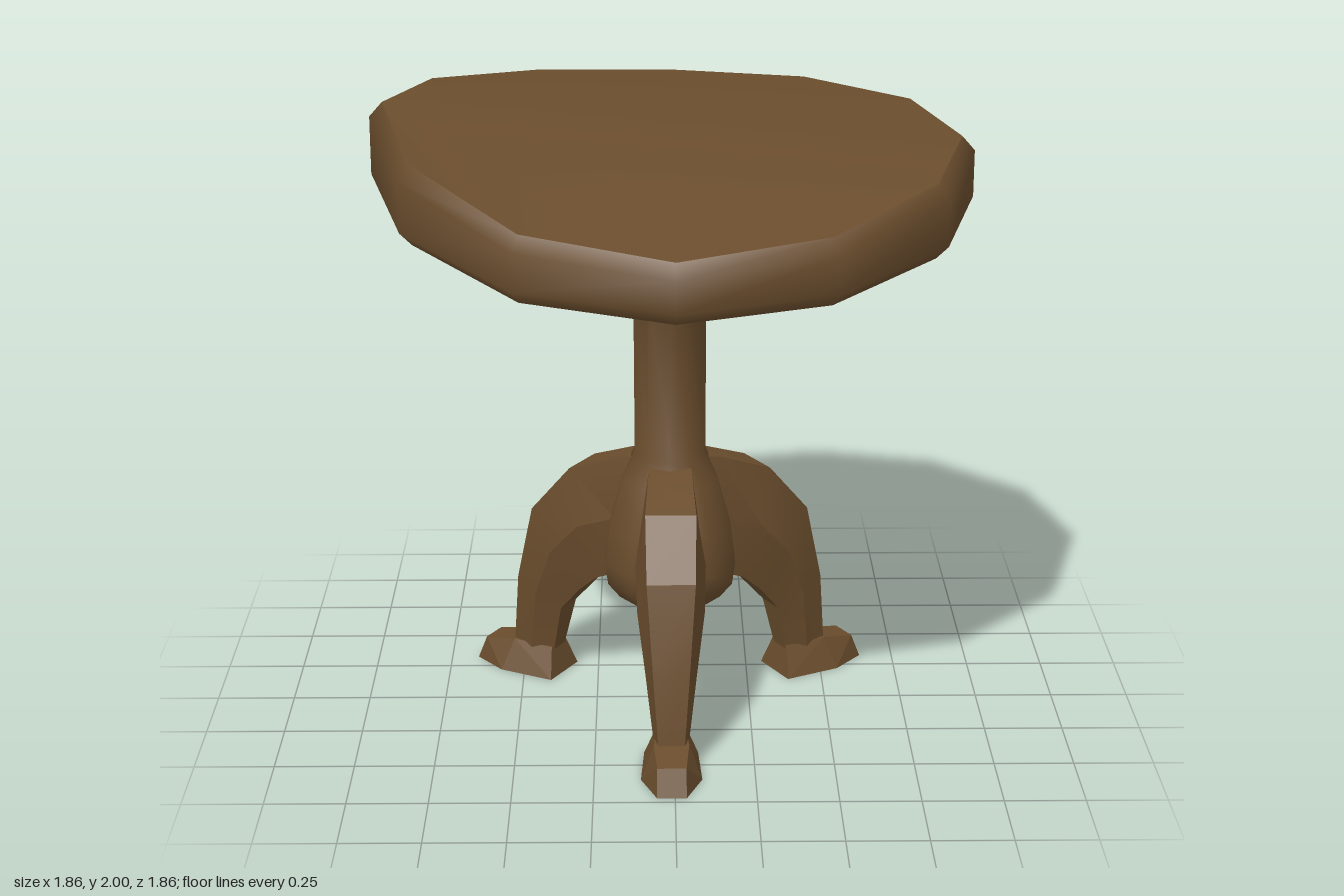
import * as THREE from 'three';
import { toCreasedNormals } from 'three/addons/utils/BufferGeometryUtils.js';
import { ConvexGeometry } from 'three/addons/geometries/ConvexGeometry.js';

// Skin between closed rings of points, each ring an array of [x, y, z]
function loft(rings) {
  const n = rings[0].length, index = [];
  for (let i = 0; i < rings.length - 1; i++) {
    for (let j = 0; j < n; j++) {
      const a = i * n + j, b = i * n + (j + 1) % n;
      index.push(a, a + n, b, b, a + n, b + n);
    }
  }
  return surface(rings.flat(), index);
}

// Fill one ring with triangles that fan out from the chosen corner
function cap(ring, start, down) {
  const n = ring.length, index = [];
  for (let i = 1; i < n - 1; i++) {
    const b = (start + i) % n, c = (start + i + 1) % n;
    index.push(start, down ? c : b, down ? b : c);
  }
  return surface(ring, index);
}

function surface(points, index) {
  const g = new THREE.BufferGeometry();
  g.setAttribute('position', new THREE.Float32BufferAttribute(points.flat(), 3));
  g.setIndex(index);
  g.computeVertexNormals();
  return g;
}

export function createModel() {
  const model = new THREE.Group();
  const wood = new THREE.MeshStandardMaterial({ color: 0x6a4d2d });
  wood.name = 'brown wood';
  const add = (parent, name, geometry) => {
    const mesh = new THREE.Mesh(geometry, wood);
    mesh.name = name;
    parent.add(mesh);
    return mesh;
  };

  // Warped, tilted twelve-sided top: rim heights from the front round to the left
  const upper = [1.74, 1.78, 1.85, 1.89, 1.91, 1.915, 1.915, 1.94, 1.98, 2.0, 1.91, 1.79];
  const lower = [1.56, 1.58, 1.625, 1.66, 1.675, 1.68, 1.675, 1.69, 1.72, 1.735, 1.67, 1.59];
  const rim = (heights, radius, lift) => heights.map((y, i) => {
    const a = i * Math.PI / 6;
    return [radius * Math.sin(a), y + lift, radius * Math.cos(a)];
  });
  const top = new THREE.Group();
  top.name = 'tableTop';
  model.add(top);
  const topRing = rim(upper, 0.89, 0), bottomRing = rim(lower, 0.89, 0);
  add(top, 'topFace', cap(topRing, 9, false));
  add(top, 'rim', loft([topRing, rim(upper, 0.93, -0.045), rim(lower, 0.93, 0.04), bottomRing]));
  add(top, 'underside', cap(bottomRing, 0, true));

  // Turned column with a swollen foot and a flared collar
  const base = new THREE.Group();
  base.name = 'base';
  base.position.x = -0.01;
  model.add(base);
  const profile = [
    [0, 0.38], [0.17, 0.38], [0.21, 0.43], [0.22, 0.5], [0.205, 0.62], [0.16, 0.78],
    [0.118, 0.87], [0.12, 1.42], [0.225, 1.53], [0.235, 1.67],
  ].map(([r, y]) => new THREE.Vector2(r, y));
  add(base, 'column', toCreasedNormals(new THREE.LatheGeometry(profile, 10), 0.9));

  // Leg sections: outer z, outer y, inner z, inner y, half width
  const sections = [
    [0.07, 0.85, 0.08, 0.46, 0.085],
    [0.14, 0.84, 0.16, 0.43, 0.095],
    [0.33, 0.77, 0.24, 0.40, 0.11],
    [0.48, 0.60, 0.31, 0.34, 0.105],
    [0.55, 0.34, 0.39, 0.25, 0.08],
    [0.58, 0.08, 0.43, 0.08, 0.055],
  ];
  const legGeometry = toCreasedNormals(loft(sections.map(([oz, oy, iz, iy, w]) => {
    const mz = (oz + iz) / 2, my = (oy + iy) / 2;
    return [
      [w * 0.72, oy, oz], [w, my, mz], [w * 0.6, iy, iz],
      [-w * 0.6, iy, iz], [-w, my, mz], [-w * 0.72, oy, oz],
    ];
  })), 0.35);

  // Foot corners: half width, y, z
  const corners = [
    [0.045, 0.1, 0.43], [0.055, 0.105, 0.57], [0.045, 0.083, 0.69],
    [0.085, 0, 0.41], [0.095, 0, 0.6], [0.045, 0, 0.725],
  ];
  const footGeometry = new ConvexGeometry(corners.flatMap(([w, y, z]) =>
    [new THREE.Vector3(w, y, z), new THREE.Vector3(-w, y, z)]));

  // Three legs, one facing the front
  ['frontLeg', 'leftLeg', 'rightLeg'].forEach((name, i) => {
    const leg = new THREE.Group();
    leg.name = name;
    leg.rotation.y = i * Math.PI * 2 / 3;
    base.add(leg);
    add(leg, 'curvedLeg', legGeometry);
    add(leg, 'foot', footGeometry);
  });

  return model;
}
